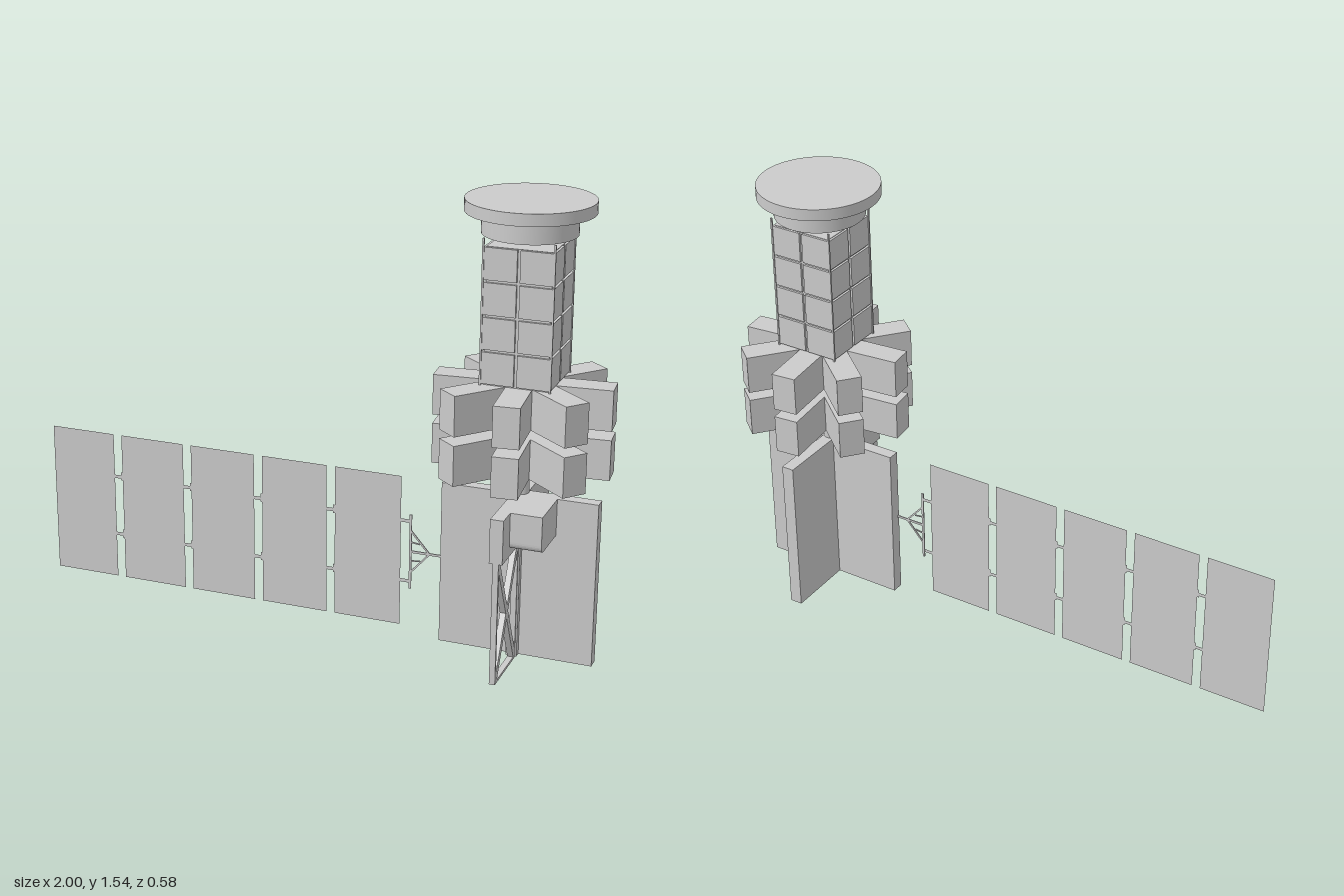
import * as THREE from 'three';

const AX = 0.705; // x of the main axis

export function createModel() {
  const model = new THREE.Group();
  const mat = new THREE.MeshStandardMaterial({ color: 0xcccccc, flatShading: true });
  const smooth = new THREE.MeshStandardMaterial({ color: 0xcccccc });
  const thin = new THREE.MeshStandardMaterial({ color: 0xcccccc, side: THREE.DoubleSide });

  const add = (name, geo, material = mat, parent = model) => {
    const mesh = new THREE.Mesh(geo, material);
    mesh.name = name;
    parent.add(mesh);
    return mesh;
  };
  // box given by its extents
  const box = (name, x0, x1, y0, y1, z0, z1, parent) => {
    const m = add(name, new THREE.BoxGeometry(x1 - x0, y1 - y0, z1 - z0), mat, parent);
    m.position.set((x0 + x1) / 2, (y0 + y1) / 2, (z0 + z1) / 2);
    return m;
  };
  const cyl = (name, r, y0, y1, sides) => {
    const m = add(name, new THREE.CylinderGeometry(r, r, y1 - y0, sides), smooth);
    m.position.set(AX, (y0 + y1) / 2, 0);
  };
  const group = (name, x = 0) => {
    const g = new THREE.Group();
    g.name = name;
    g.position.x = x;
    model.add(g);
    return g;
  };

  // central mast and top dish
  cyl('mast', 0.026, 0.56, 1.44, 24);
  cyl('dishBase', 0.152, 1.43, 1.5, 64);
  cyl('dishRim', 0.206, 1.5, 1.54, 64);

  // tower: four layers of four blocks, with a core and corner posts
  const tower = group('tower', AX);
  box('towerCore', -0.106, 0.106, 0.955, 1.403, -0.106, 0.106, tower);
  for (let row = 0; row < 4; row++) {
    const y = 0.96 + row * 0.1125;
    for (const sx of [-1, 1]) for (const sz of [-1, 1]) {
      const b = add('towerBlock', new THREE.BoxGeometry(0.109, 0.104, 0.109), mat, tower);
      b.position.set(sx * 0.0595, y + 0.052, sz * 0.0595);
    }
  }
  for (const sx of [-1, 1]) for (const sz of [-1, 1]) {
    const p = add('cornerPost', new THREE.BoxGeometry(0.006, 0.475, 0.006), mat, tower);
    p.position.set(sx * 0.114, 1.1925, sz * 0.114);
  }

  // two rings of eight radial blocks
  for (const y of [0.7225, 0.8875]) {
    const ring = group('blockRing', AX);
    for (let i = 0; i < 8; i++) {
      const arm = new THREE.Group();
      arm.name = 'ringArm';
      arm.rotation.y = THREE.MathUtils.degToRad(5.5 + i * 45);
      ring.add(arm);
      const b = add('ringBlock', new THREE.BoxGeometry(0.268, 0.135, 0.086), mat, arm);
      b.position.set(0.155, y, 0);
    }
  }

  // crossed walls of the lower body
  box('sideWall', 0.442, 0.968, 0.003, 0.57, -0.021, 0.021);
  box('backWall', 0.683, 0.727, 0.003, 0.57, -0.26, -0.02);
  box('frontWall', 0.683, 0.727, 0.42, 0.57, 0.02, 0.262);
  box('frontColumn', 0.683, 0.72, 0.003, 0.42, 0.02, 0.042);

  // cross-braced frame under the front wall, drawn in (z, y)
  const z0 = 0.04, z1 = 0.262, y0 = 0, y1 = 0.42, e = 0.009;
  const zc = (z0 + z1) / 2, yc = (y0 + y1) / 2;
  const poly = (pts, C) => new C(pts.map(([a, b]) => new THREE.Vector2(a, b)));
  const frame = poly([[z0, y0], [z1, y0], [z1, y1], [z0, y1]], THREE.Shape);
  for (const s of [-1, 1]) {
    const zs = zc + s * (zc - z0 - e), ys = yc + s * (yc - y0 - e);
    frame.holes.push(poly([[zs, y0 + 0.035], [zs, y1 - 0.035], [zc + s * 0.012, yc]], THREE.Path));
    frame.holes.push(poly([[z0 + 0.022, ys], [z1 - 0.022, ys], [zc, yc + s * 0.024]], THREE.Path));
  }
  const extrudeX = (name, shape, xStart, width) => {
    const geo = new THREE.ExtrudeGeometry(shape, { depth: width, bevelEnabled: false, curveSegments: 8 });
    geo.rotateY(-Math.PI / 2); // shape x becomes +z, depth becomes -x
    add(name, geo).position.x = xStart + width;
  };
  extrudeX('braceFrame', frame, 0.695, 0.02);

  // equipment box with a rounded lower front edge
  const side = new THREE.Shape();
  side.moveTo(0.02, 0.57);
  side.lineTo(0.02, 0.445);
  side.lineTo(0.163, 0.445);
  side.quadraticCurveTo(0.19, 0.445, 0.19, 0.472);
  side.lineTo(0.19, 0.57);
  extrudeX('equipmentBox', side, 0.725, 0.107);

  // wing: five thin panels joined by flat hinge strips
  const wing = group('wing');
  wing.position.z = 0.015;
  const plane = (name, xa, xb, ya, yb) => {
    const m = add(name, new THREE.PlaneGeometry(xb - xa, yb - ya), thin, wing);
    m.position.set((xa + xb) / 2, (ya + yb) / 2, 0);
  };
  for (let i = 0; i < 5; i++) {
    const x = -1 + i * 0.266;
    plane('wingPanel', x, x + 0.236, 0.035, 0.57);
    for (const y of [0.198, 0.414]) {
      plane('hingeStrip', x + 0.236, x + (i < 4 ? 0.266 : 0.272), y - 0.006, y + 0.006);
      if (i < 4) plane('hingeTab', x + 0.26, x + 0.266, y - 0.012, y + 0.018);
    }
  }

  // truss that carries the wing
  const strut = (xa, ya, xb, yb, w = 0.006) => {
    const dx = xb - xa, dy = yb - ya;
    const m = add('trussStrut', new THREE.BoxGeometry(Math.hypot(dx, dy), w, 0.004), mat, wing);
    m.position.set((xa + xb) / 2, (ya + yb) / 2, 0);
    m.rotation.z = Math.atan2(dy, dx);
  };
  strut(0.335, 0.172, 0.335, 0.438, 0.008);
  strut(0.335, 0.306, 0.445, 0.306, 0.008);
  for (const s of [-1, 1]) {
    strut(0.335, 0.306 + s * 0.076, 0.402, 0.306);
    strut(0.337, 0.306 + s * 0.034, 0.368, 0.306 + s * 0.03, 0.004);
  }
  return model;
}
